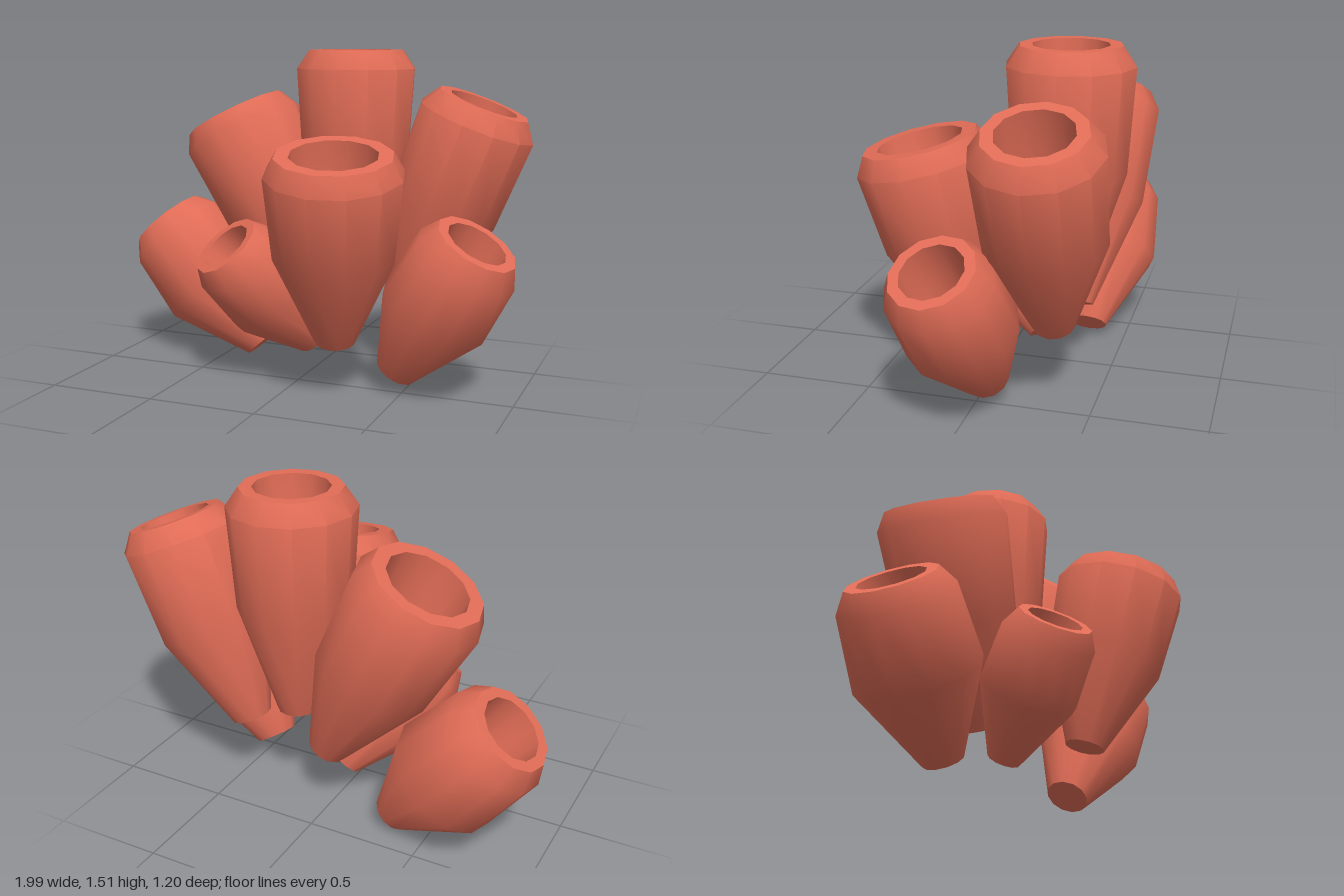
import * as THREE from 'three';
import { toCreasedNormals } from 'three/addons/utils/BufferGeometryUtils.js';

const SIDES = 12;

// Open vase-shaped tube: foot disc, belly, shoulder, flat rim ring and hollow cavity
function tubeGeometry(length, foot, belly, shoulder, rim) {
  const mouth = rim * 0.75;
  const profile = [
    [0, 0],
    [foot, 0],
    [belly, length * 0.48],
    [shoulder, length - 0.085],
    [rim, length],
    [mouth, length],
    [mouth * 0.9, length * 0.75],
    [mouth * 0.6, length * 0.5],
    [0, length * 0.45],
  ].map(([r, y]) => new THREE.Vector2(r, y));
  return toCreasedNormals(new THREE.LatheGeometry(profile, SIDES), 0.75);
}

// Each tube: foot centre, mouth centre, radii of foot, belly, shoulder and rim
const TUBES = [
  { name: 'backOuterRightTube', from: [-0.32, 0.07, -0.32], to: [-0.85, 0.655, -0.33], radii: [0.092, 0.275, 0.25, 0.195] },
  { name: 'backInnerRightTube', from: [0.01, 0.31, -0.32], to: [-0.46, 1.21, -0.32], radii: [0.09, 0.265, 0.295, 0.25] },
  { name: 'backCentreTube', from: [0.16, 0.48, -0.32], to: [0.16, 1.52, -0.32], radii: [0.09, 0.25, 0.278, 0.22] },
  { name: 'backLeftTube', from: [0.41, 0.37, -0.32], to: [0.765, 1.285, -0.32], radii: [0.092, 0.26, 0.272, 0.212] },
  { name: 'frontLargeTube', from: [0.225, 0.25, 0.12], to: [0.285, 1.1, 0.31], radii: [0.09, 0.27, 0.302, 0.255] },
  { name: 'frontLeftTube', from: [0.46, 0.1, -0.04], to: [0.84, 0.725, 0.07], radii: [0.097, 0.25, 0.235, 0.186] },
  { name: 'frontRightTube', from: [0, 0.155, -0.18], to: [-0.29, 0.65, 0.16], radii: [0.075, 0.22, 0.21, 0.165] },
];

export function createModel() {
  const model = new THREE.Group();
  model.name = 'tubeCoral';
  const coral = new THREE.MeshStandardMaterial({ color: 0xe06c56 });
  coral.name = 'coral';

  const up = new THREE.Vector3(0, 1, 0);
  for (const { name, from, to, radii } of TUBES) {
    const foot = new THREE.Vector3(...from);
    const axis = new THREE.Vector3(...to).sub(foot);
    const tube = new THREE.Mesh(tubeGeometry(axis.length(), ...radii), coral);
    tube.name = name;
    tube.position.copy(foot);
    tube.quaternion.setFromUnitVectors(up, axis.normalize());
    model.add(tube);
  }
  return model;
}
